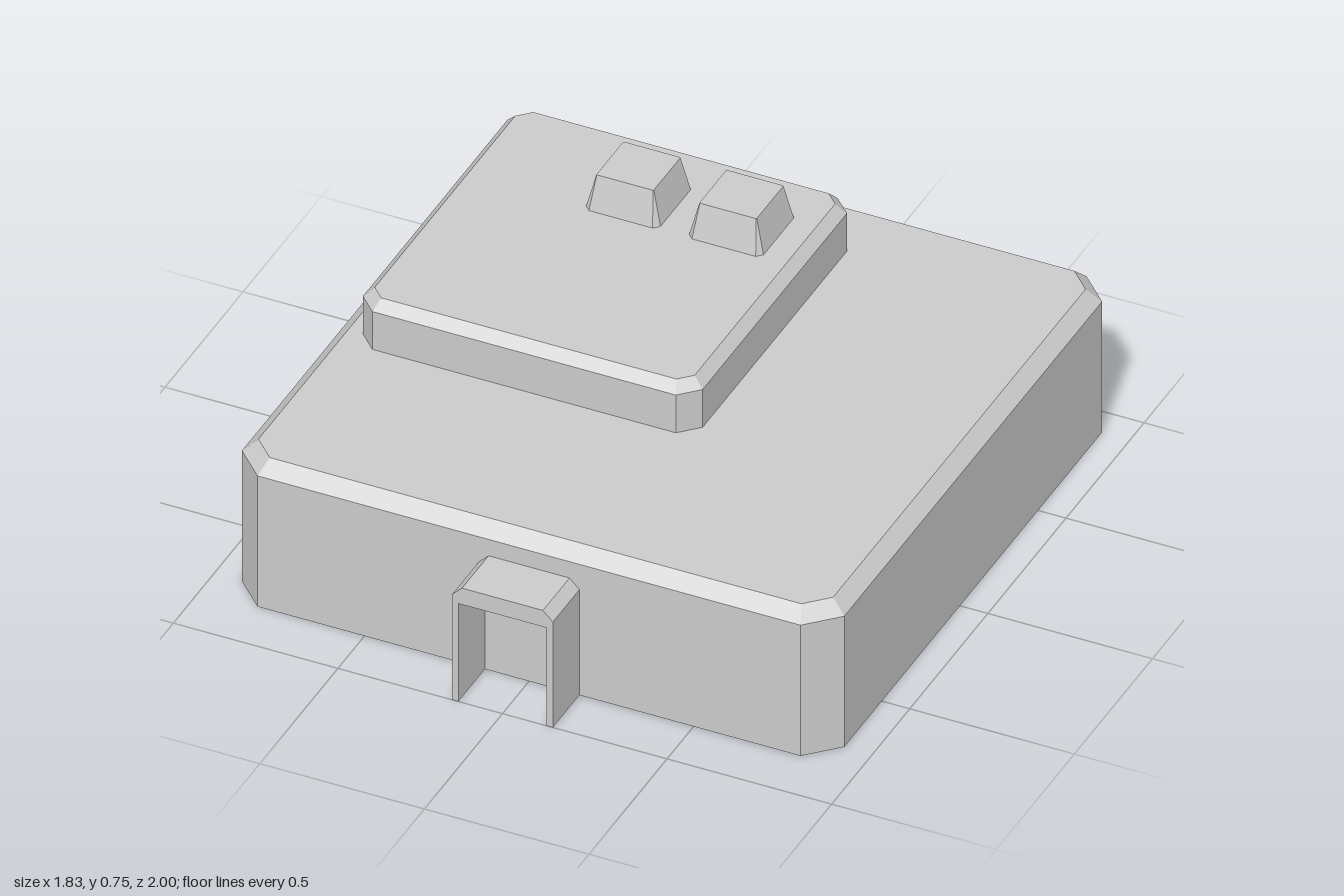
import * as THREE from 'three';

const material = new THREE.MeshStandardMaterial({ color: 0xcccccc, flatShading: true, side: THREE.DoubleSide });

// Rectangle with cut corners, shrunk evenly by `inset`, running anticlockwise seen from above
function cutRectangle({ x0, x1, z0, z1, cut }, inset, y) {
  const c = Math.max(cut - inset * (2 - Math.SQRT2), 0.002);
  const l = x0 + inset, r = x1 - inset, b = z0 + inset, f = z1 - inset;
  return [
    [l + c, f], [r - c, f], [r, f - c], [r, b + c],
    [r - c, b], [l + c, b], [l, b + c], [l, f - c],
  ].map(([x, z]) => [x, y, z]);
}

// Shell through a stack of [y, inset] levels, closed on top and open below
function shell(name, plan, levels) {
  const rings = levels.map(([y, inset]) => cutRectangle(plan, inset, y));
  const n = rings[0].length;
  const index = [];
  for (let k = 0; k < rings.length - 1; k++) {
    for (let i = 0; i < n; i++) {
      const a = k * n + i, b = k * n + (i + 1) % n;
      index.push(a, b, b + n, a, b + n, a + n);
    }
  }
  const top = (rings.length - 1) * n;
  for (let i = 1; i < n - 1; i++) index.push(top, top + i, top + i + 1);
  const geometry = new THREE.BufferGeometry();
  geometry.setAttribute('position', new THREE.Float32BufferAttribute(rings.flat(2), 3));
  geometry.setIndex(index);
  const flat = geometry.toNonIndexed();
  flat.computeVertexNormals();
  const mesh = new THREE.Mesh(flat, material);
  mesh.name = name;
  return mesh;
}

// Entrance: a chamfered frame around a deep doorway
function entrance() {
  const w = 0.153, h = 0.385, c = 0.03, doorW = 0.134, doorH = 0.33;
  const outline = [
    [-w, 0], [-doorW, 0], [-doorW, doorH], [doorW, doorH], [doorW, 0],
    [w, 0], [w, h - c], [w - c, h], [-w + c, h], [-w, h - c],
  ].map(([x, y]) => new THREE.Vector2(x, y));
  const geometry = new THREE.ExtrudeGeometry(new THREE.Shape(outline), { depth: 0.17, bevelEnabled: false });
  const mesh = new THREE.Mesh(geometry, material);
  mesh.name = 'entrance';
  mesh.position.z = 0.83;
  return mesh;
}

export function createModel() {
  const model = new THREE.Group();
  model.name = 'building';

  // Wide hall with a sloped roof edge
  model.add(shell('mainHall',
    { x0: -0.915, x1: 0.915, z0: -1, z1: 0.83, cut: 0.09 },
    [[0, 0], [0.44, 0], [0.48, 0.042]]));

  // Smaller upper storey, set to the back right corner
  model.add(shell('upperStorey',
    { x0: -0.828, x1: 0.204, z0: -0.83, z1: 0.204, cut: 0.055 },
    [[0.48, 0], [0.607, 0], [0.638, 0.03]]));

  // Pair of tapered roof vents
  [-0.326, -0.013].forEach((x, i) => {
    model.add(shell(i ? 'leftRoofVent' : 'rightRoofVent',
      { x0: x - 0.113, x1: x + 0.113, z0: -0.67, z1: -0.444, cut: 0.016 },
      [[0.638, 0], [0.745, 0.026]]));
  });

  model.add(entrance());
  return model;
}
